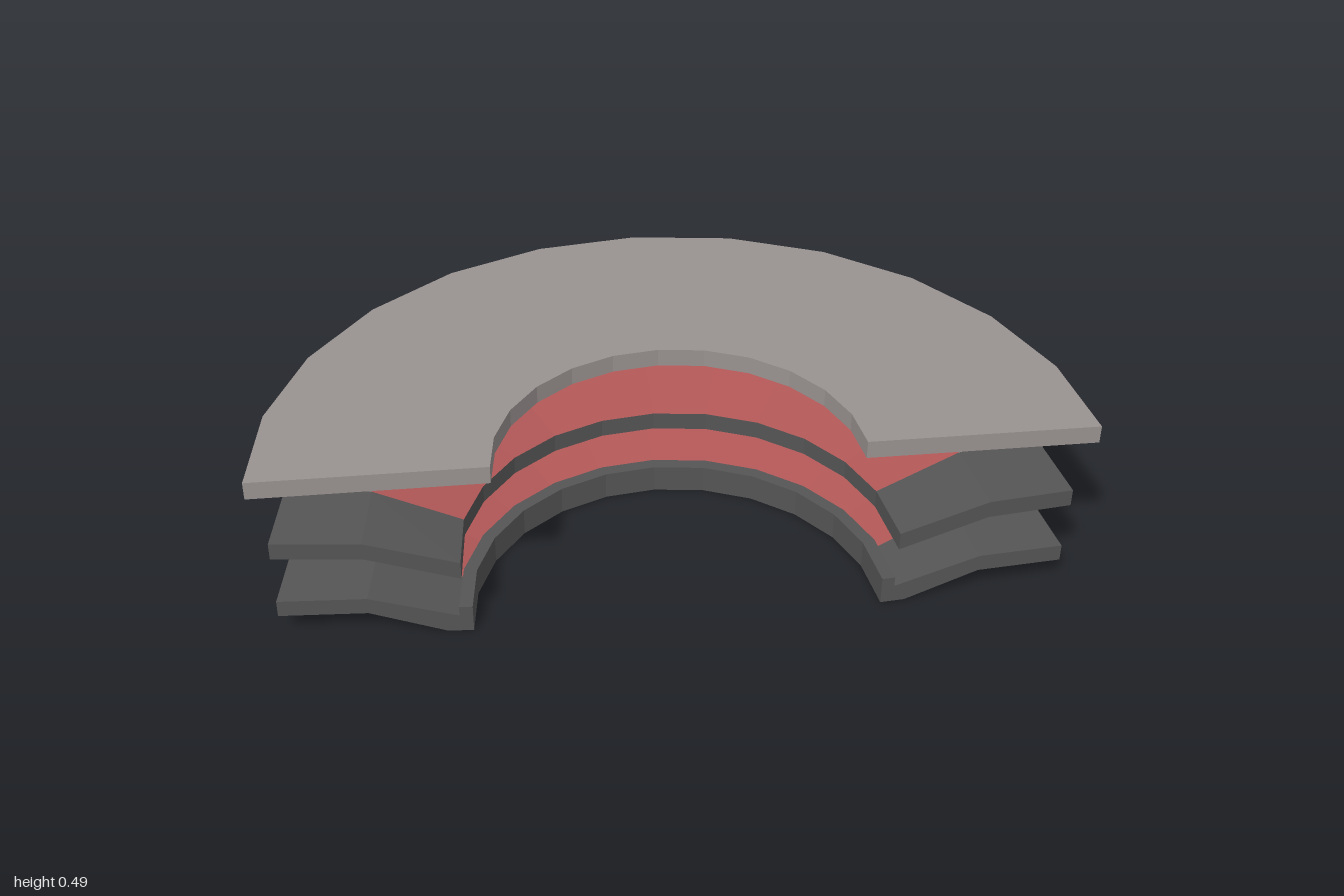
import * as THREE from 'three';

const grey = new THREE.MeshStandardMaterial({ color: 0x999290 });
grey.name = 'warm grey';
const dark = new THREE.MeshStandardMaterial({ color: 0x555555 });
dark.name = 'dark grey';
const red = new THREE.MeshStandardMaterial({ color: 0xb05656 });
red.name = 'muted red';

const SEGMENTS = 12;       // half of a 24-sided ring
const CENTER_Z = 0.43;     // ring axis

// Sweeps a closed profile of [radius, y, material, endMaterials] around the half ring.
// endMaterials = [at +x end, at -x end] recolours the last segment on that side.
// ends = for each end [innerZ, outerZ], which skews the cut.
function halfRing(name, profile, capMaterial, ends) {
  const radii = profile.map((p) => p[0]);
  const rMin = Math.min(...radii), rMax = Math.max(...radii);
  const point = (j, i) => {
    const [r, y] = profile[j % profile.length];
    const t = THREE.MathUtils.degToRad(-7.5 + 15 * i);
    let z = CENTER_Z - r * Math.sin(t);
    const end = ends && (i === 0 ? ends[0] : i === SEGMENTS ? ends[1] : null);
    if (end) z = THREE.MathUtils.mapLinear(r, rMin, rMax, end[0], end[1]);
    return [r * Math.cos(t), y, z];
  };

  const faces = new Map();
  const add = (material, ...points) => {
    if (!faces.has(material)) faces.set(material, []);
    points.forEach((p) => faces.get(material).push(...p));
  };

  for (let j = 0; j < profile.length; j++) {
    const [, , material, endMaterials] = profile[j];
    for (let i = 0; i < SEGMENTS; i++) {
      let m = material;
      if (endMaterials && i === 0) m = endMaterials[0];
      if (endMaterials && i === SEGMENTS - 1) m = endMaterials[1];
      const a = point(j, i), b = point(j + 1, i);
      const a2 = point(j, i + 1), b2 = point(j + 1, i + 1);
      add(m, a, a2, b2, a, b2, b);
    }
  }

  // cut faces at both ends
  const outline = profile.map(([r, y]) => new THREE.Vector2(r, y));
  for (const [a, b, c] of THREE.ShapeUtils.triangulateShape(outline, [])) {
    add(capMaterial, point(a, 0), point(b, 0), point(c, 0));
    add(capMaterial, point(c, SEGMENTS), point(b, SEGMENTS), point(a, SEGMENTS));
  }

  const group = new THREE.Group();
  group.name = name;
  for (const [material, positions] of faces) {
    const geometry = new THREE.BufferGeometry();
    geometry.setAttribute('position', new THREE.Float32BufferAttribute(positions, 3));
    geometry.computeVertexNormals();
    const mesh = new THREE.Mesh(geometry, material);
    mesh.name = `${name} ${material.name} faces`;
    group.add(mesh);
  }
  return group;
}

export function createModel() {
  const model = new THREE.Group();
  model.name = 'tieredHalfRing';
  const bothDark = [dark, dark];
  const leftDark = [dark, grey];

  // flat roof ring
  model.add(halfRing('roof', [
    [1.0086, 0.443, grey],
    [1.0086, 0.49, grey],
    [0.4437, 0.49, grey],
    [0.4437, 0.443, grey],
  ], grey));

  // upper tier: flat rim and sloped seating bank
  model.add(halfRing('upperTier', [
    [0.971, 0.246, grey],
    [0.971, 0.292, grey, bothDark],
    [0.756, 0.292, red, bothDark],
    [0.53, 0.233, dark],
    [0.53, 0.185, grey],
    [0.756, 0.246, grey],
  ], dark, [[0.535, 0.543], [0.39, 0.285]]));

  // lower tier: same bank with a raised lip along the inner edge
  model.add(halfRing('lowerTier', [
    [0.971, 0.065, grey, leftDark],
    [0.971, 0.11, grey, bothDark],
    [0.755, 0.11, red, bothDark],
    [0.538, 0.048, dark],
    [0.538, 0.075, dark],
    [0.505, 0.075, dark],
    [0.505, 0, grey, leftDark],
    [0.567, 0, grey, leftDark],
    [0.755, 0.065, grey, leftDark],
  ], dark, [[0.51, 0.533], [0.37, 0.28]]));

  return model;
}
